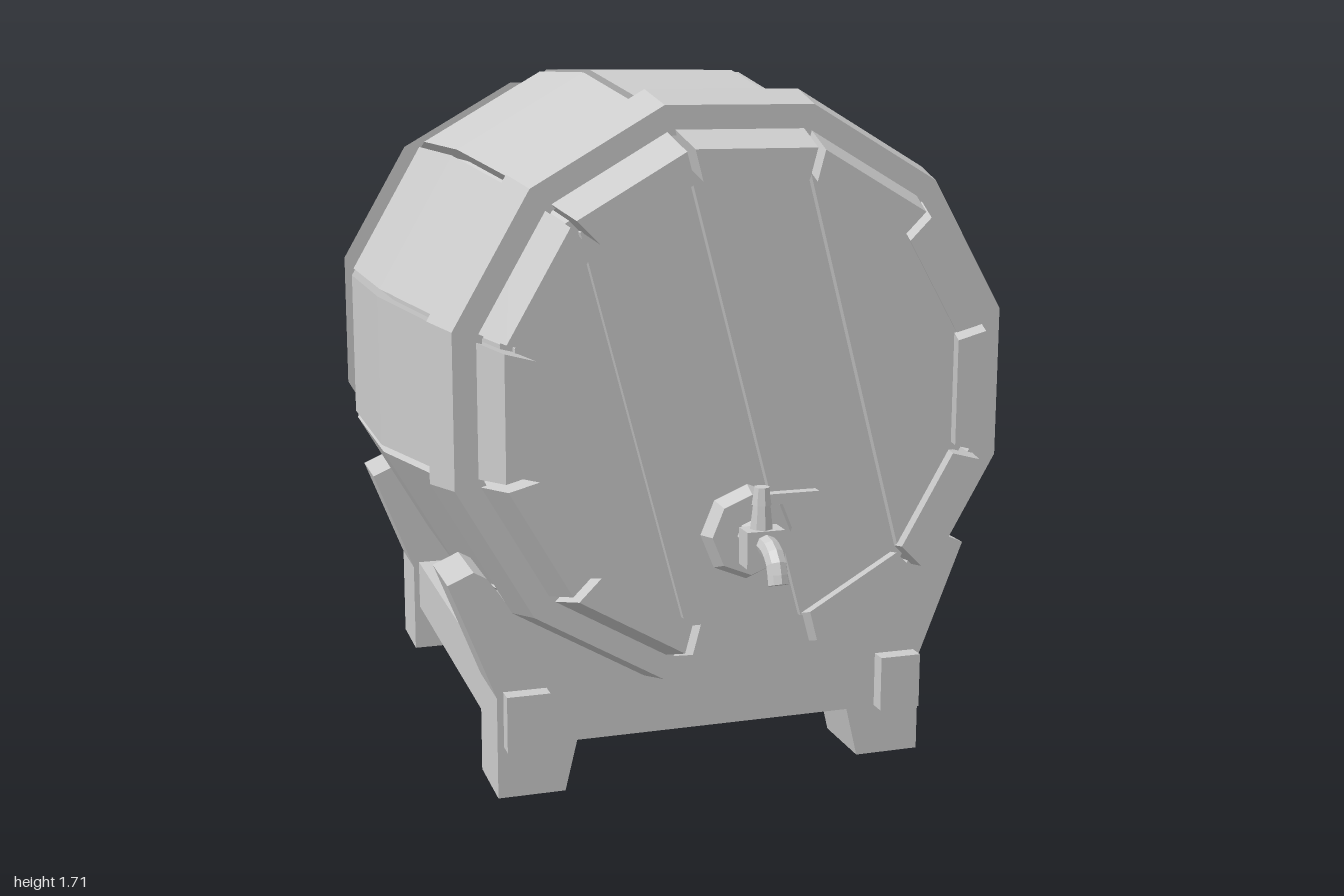
import * as THREE from 'three';

const SIDES = 12, HALF = Math.PI / SIDES, TAN = Math.tan(HALF), COS = Math.cos(HALF);
const CY = 0.97, CZ = -0.08; // barrel centre
const mat = new THREE.MeshStandardMaterial({ color: 0xcccccc, flatShading: true });

function add(parent, name, geometry, x = 0, y = 0, z = 0) {
  const mesh = new THREE.Mesh(geometry, mat);
  mesh.name = name;
  mesh.position.set(x, y, z);
  parent.add(mesh);
  return mesh;
}

// Barrel profile: [z, distance from axis to the flat of a stave]
const PROFILE = [[-0.92, 0.57], [-0.66, 0.66], [-0.23, 0.735], [0.23, 0.735], [0.66, 0.66], [0.92, 0.57]];

// One bowed plank lofted through four-cornered sections along z
function staveGeometry() {
  const gap = 0.01, thick = 0.07, pos = [];
  const rings = PROFILE.map(([z, a]) => {
    const wo = a * TAN - gap, wi = (a - thick) * TAN - gap;
    return [[-wi, a - thick, z], [wi, a - thick, z], [wo, a, z], [-wo, a, z]];
  });
  const quad = (a, b, c, d) => pos.push(...a, ...b, ...c, ...a, ...c, ...d);
  for (let i = 0; i < rings.length - 1; i++) {
    const p = rings[i], q = rings[i + 1];
    for (let j = 0; j < 4; j++) {
      const k = (j + 1) % 4;
      quad(p[j], p[k], q[k], q[j]);
    }
  }
  const first = rings[0], last = rings[rings.length - 1];
  quad(first[3], first[2], first[1], first[0]);
  quad(last[0], last[1], last[2], last[3]);
  const g = new THREE.BufferGeometry();
  g.setAttribute('position', new THREE.Float32BufferAttribute(pos, 3));
  g.computeVertexNormals();
  return g;
}

// Twelve-sided turned part along z; points are [flat distance, z]
function turned(points) {
  const g = new THREE.LatheGeometry(points.map(([a, z]) => new THREE.Vector2(a / COS, z)), SIDES);
  return g.rotateY(HALF).rotateX(Math.PI / 2);
}

function extrude(points, depth) {
  const shape = new THREE.Shape(points.map(([x, y]) => new THREE.Vector2(x, y)));
  return new THREE.ExtrudeGeometry(shape, { depth, bevelEnabled: false });
}

// Barrel end made of four boards, grooves running corner to corner
function makeHead() {
  const head = new THREE.Group();
  head.name = 'barrelHead';
  const R = 0.55, g = 0.007, c = R * Math.cos(Math.PI / 6), h = R / 2;
  const inner = [[g, -R + g / 3], [h - g, -c], [h - g, c], [g, R - g / 3]];
  const outer = [[h + g, -c + g], [c, -h], [R, 0], [c, h], [h + g, c - g]];
  for (const pts of [inner, outer]) {
    const board = add(head, 'headBoard', extrude(pts, 0.03), 0, 0, 0.82);
    const twin = add(head, 'headBoard', board.geometry, 0, 0, 0.82);
    twin.rotation.z = Math.PI;
  }
  head.rotation.order = 'YXZ';
  head.rotation.z = HALF;
  return head;
}

function makeBarrel() {
  const barrel = new THREE.Group();
  barrel.name = 'barrel';
  const stave = staveGeometry();
  for (let i = 0; i < SIDES; i++) add(barrel, 'stave', stave).rotation.z = i * 2 * HALF;

  // Lining behind the gaps between staves
  add(barrel, 'lining', turned([[0, -0.83], [0.56, -0.83], [0.62, -0.66], [0.695, -0.23],
    [0.695, 0.23], [0.62, 0.66], [0.56, 0.83], [0, 0.83]]));

  // Tapered hoops
  const hoop = turned([[0.63, 0.685], [0.695, 0.685], [0.662, 0.81], [0.595, 0.81], [0.63, 0.685]]);
  add(barrel, 'frontHoop', hoop);
  add(barrel, 'backHoop', hoop).rotation.y = Math.PI;

  const front = makeHead(), back = makeHead();
  back.rotation.y = Math.PI;
  barrel.add(front, back);
  barrel.position.set(0, CY, CZ);
  return barrel;
}

function makeStand() {
  const stand = new THREE.Group();
  stand.name = 'stand';
  // Cradle outline: right half, then mirrored
  const half = [[0.35, 0.125], [0.38, 0], [0.545, 0], [0.545, 0.25], [0.657, 0.535],
    [0.595, 0.562], [0.565, 0.545], [0.505, 0.46], [0.183, 0.285]];
  const outline = [...half, ...half.map(([x, y]) => [-x, y]).reverse()];
  const cradle = extrude(outline, 0.187);
  add(stand, 'frontCradle', cradle, 0, 0, 0.403);
  add(stand, 'backCradle', cradle, 0, 0, -0.747);
  for (const s of [-1, 1])
    add(stand, 'rail', new THREE.BoxGeometry(0.105, 0.137, 1.415), s * 0.477, 0.196, -0.077);
  return stand;
}

function makeTap() {
  const tap = new THREE.Group();
  tap.name = 'tap';
  const alongZ = (r1, r0, len, n) => new THREE.CylinderGeometry(r1, r0, len, n).rotateX(Math.PI / 2);
  add(tap, 'mountingPlate', alongZ(0.095, 0.115, 0.04, 8), 0, 0, 0.785);
  add(tap, 'neck', alongZ(0.035, 0.035, 0.07, 8), 0, 0, 0.83);
  add(tap, 'valveBody', new THREE.BoxGeometry(0.09, 0.085, 0.055), 0, -0.01, 0.87);
  add(tap, 'valveStem', new THREE.CylinderGeometry(0.02, 0.028, 0.07, 8), 0, 0.06, 0.865);
  add(tap, 'stemCap', new THREE.CylinderGeometry(0.018, 0.024, 0.04, 8), 0, 0.108, 0.865);
  add(tap, 'handle', new THREE.BoxGeometry(0.125, 0.024, 0.026), 0.072, 0.1, 0.865);

  // Curved spout with closed tip
  const path = new THREE.CatmullRomCurve3([[0, 0, 0.88], [0, 0, 0.92], [0, -0.022, 0.957], [0, -0.07, 0.975]]
    .map(p => new THREE.Vector3(...p)));
  add(tap, 'spout', new THREE.TubeGeometry(path, 6, 0.024, 8, false));
  const tip = add(tap, 'spoutTip', new THREE.CircleGeometry(0.024, 8), 0, -0.07, 0.975);
  tip.lookAt(path.getTangent(1).add(tip.position));
  tap.position.set(0.01, 0.66, 0);
  return tap;
}

export function createModel() {
  const model = new THREE.Group();
  model.name = 'barrelOnStand';
  model.add(makeBarrel(), makeStand(), makeTap());
  return model;
}
